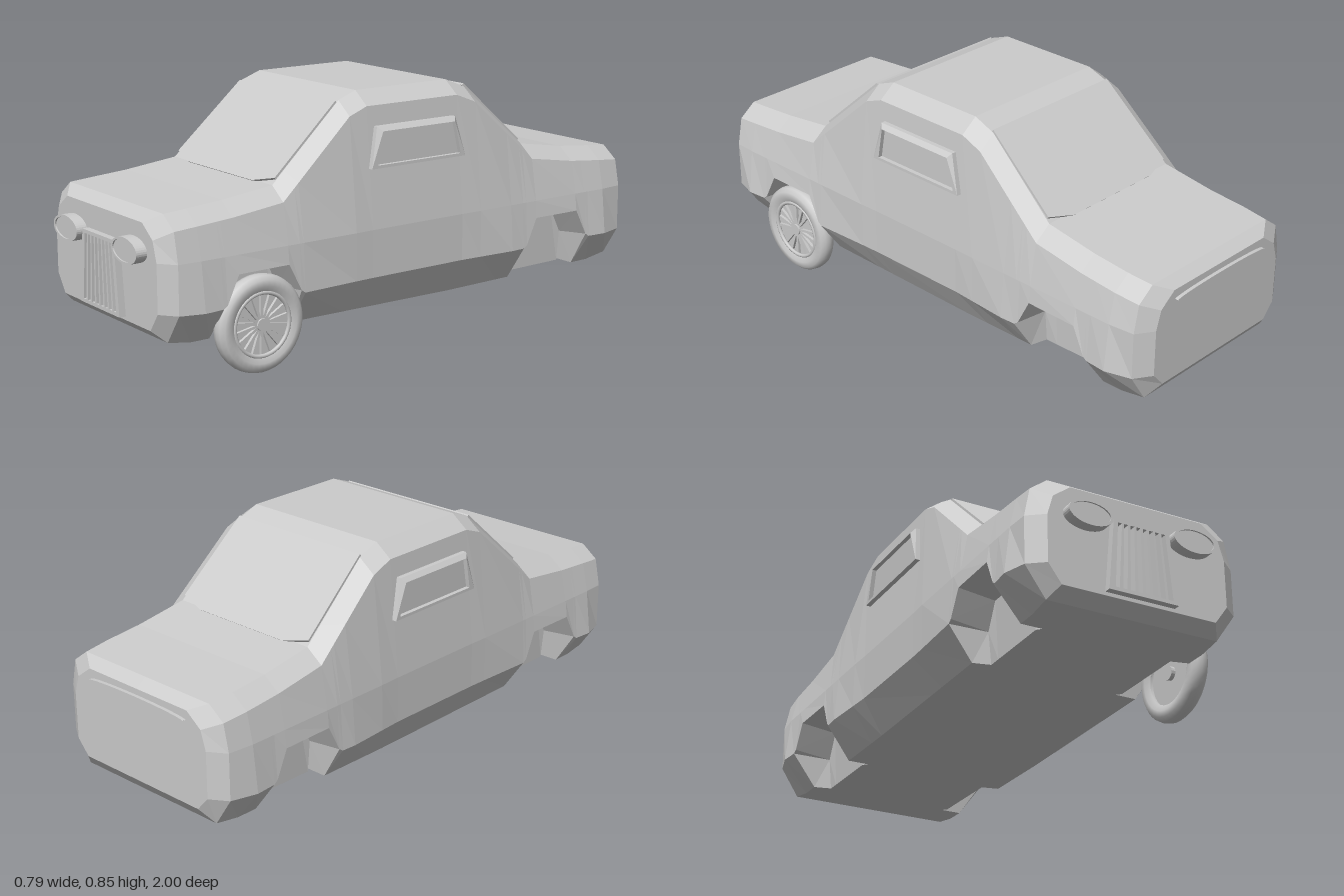
import * as THREE from 'three';

function add(parent, name, geometry, flatShading = true) {
  const material = new THREE.MeshStandardMaterial({ color: 0xcccccc, flatShading, side: THREE.DoubleSide });
  const mesh = new THREE.Mesh(geometry, material);
  mesh.name = name;
  parent.add(mesh);
  return mesh;
}

const polygon = (pts) => new THREE.Shape(pts.map(([x, y]) => new THREE.Vector2(x, y)));
const ellipse = (rx, ry) => new THREE.Shape().absellipse(0, 0, rx, ry, 0, Math.PI * 2);
const extrude = (shape, depth) => new THREE.ExtrudeGeometry(shape, { depth, bevelEnabled: false, curveSegments: 20 });

// Body outlines as [z, value], from nose to tail
const ROOFLINE = [[0.962, 0.512], [0.92, 0.543], [0.53, 0.57], [0.25, 0.82], [0.18, 0.846],
  [-0.2, 0.846], [-0.28, 0.815], [-0.55, 0.577], [-0.95, 0.538], [-0.988, 0.51]];
const WIDTH = [[0.962, 0.315], [0.92, 0.37], [0.84, 0.394], [0.62, 0.374], [0.47, 0.383],
  [0.2, 0.372], [-0.2, 0.372], [-0.42, 0.386], [-0.62, 0.374], [-0.86, 0.392], [-0.95, 0.365], [-0.988, 0.305]];
const FLOOR = [[0.962, 0.178], [0.92, 0.14], [0.84, 0.127], [-0.2, 0.118], [-0.86, 0.125], [-0.95, 0.14], [-0.988, 0.19]];
const ARCHES = [0.615, -0.63];

function along(line, z) {
  const i = Math.max(1, line.findIndex((p) => p[0] <= z));
  const [z0, v0] = line[i - 1], [z1, v1] = line[i];
  return v0 + (v1 - v0) * (z - z0) / (z1 - z0);
}

// Half cross-section from the floor centre, round the side, to the top centre
function halfSection(z) {
  const top = along(ROOFLINE, z), width = along(WIDTH, z), floor = along(FLOOR, z);
  const floorX = Math.min(0.3, width - 0.045);
  const shoulder = Math.min(width - 0.02, 0.35 - 0.058 * (top - 0.57));
  const d = Math.min(...ARCHES.map((c) => Math.abs(z - c)));
  const inArch = d < 0.145;
  const lip = inArch ? 0.34 - Math.max(0, d - 0.095) * 2 : 0.24;
  const under = inArch ? [[0.24, floor], [0.25, lip - 0.015]] : [[floorX * 0.75, floor], [floorX, floor]];
  return [[0, floor], ...under, [width, lip], [Math.min(width, 0.374), 0.4],
    [shoulder, top - 0.045], [shoulder - 0.06, top], [0, top]];
}

// Mirrors each half section and skins them from nose to tail
function bodyGeometry() {
  const arches = ARCHES.flatMap((c) => [0.155, 0.14, 0.095, -0.095, -0.14, -0.155].map((d) => c + d));
  const stations = [0.962, 0.92, 0.84, 0.25, 0.18, -0.2, -0.28, -0.42, -0.86, -0.95, -0.988, ...arches];
  stations.sort((a, b) => b - a);
  const n = 14, pos = [], index = [];
  for (const z of stations) {
    const pts = halfSection(z);
    const ring = [...pts, ...pts.slice(1, -1).reverse().map(([x, y]) => [-x, y])];
    ring.forEach(([x, y]) => pos.push(x, y, z));
  }
  const last = (stations.length - 1) * n;
  for (let s = 0; s < last; s += n) {
    for (let j = 0; j < n; j++) {
      const k = (j + 1) % n;
      index.push(s + j, s + n + j, s + k, s + k, s + n + j, s + n + k);
    }
  }
  for (let j = 1; j < n - 1; j++) index.push(0, j, j + 1, last, last + j + 1, last + j);
  const g = new THREE.BufferGeometry();
  g.setAttribute('position', new THREE.Float32BufferAttribute(pos, 3));
  g.setIndex(index);
  const faceted = g.toNonIndexed();
  faceted.computeVertexNormals();
  return faceted;
}

// Sloping glass, hinged at its lower edge
function addScreen(parent, name, baseZ, baseY, angle) {
  const shape = polygon([[-0.19, 0], [0.19, 0], [0.285, 0.03], [0.275, 0.36], [-0.275, 0.36], [-0.285, 0.03]]);
  const pane = add(parent, name, extrude(shape, 0.008));
  pane.position.set(0, baseY, baseZ);
  pane.rotation.x = angle;
}

// Projecting side window: a trapezoid frame round a recessed pane
function addSideWindow(parent, name, side) {
  const inner = [[-0.16, 0.61], [0.19, 0.61], [0.163, 0.72], [-0.14, 0.72]];
  const frame = polygon([[-0.185, 0.6], [0.21, 0.6], [0.175, 0.735], [-0.155, 0.735]]);
  frame.holes.push(polygon(inner));
  const frameGeometry = extrude(frame, 0.05);
  // slope the upper edge back into the cabin
  const p = frameGeometry.attributes.position;
  for (let i = 0; i < p.count; i++) if (p.getY(i) > 0.73 && p.getZ(i) > 0.02) p.setZ(i, 0.036);
  frameGeometry.computeVertexNormals();
  const turned = new THREE.Group();
  turned.rotation.y = Math.PI / 2;
  add(turned, 'windowFrame', frameGeometry).position.z = 0.32;
  add(turned, 'windowPane', extrude(polygon(inner), 0.03)).position.z = 0.325;
  const window = new THREE.Group();
  window.name = name;
  window.scale.x = side;
  window.add(turned);
  parent.add(window);
}

function addHeadlight(parent, name, side) {
  const light = new THREE.Group();
  light.name = name;
  const rim = ellipse(0.077, 0.042);
  rim.holes.push(ellipse(0.068, 0.035));
  add(light, 'headlightRim', extrude(rim, 0.05));
  add(light, 'headlightLens', extrude(ellipse(0.068, 0.035), 0.045));
  light.position.set(side * 0.185, 0.42, 0.95);
  parent.add(light);
}

// Tapered frame with upright slots
function addGrille(parent) {
  const frame = polygon([[-0.122, 0.19], [0.122, 0.19], [0.098, 0.433], [-0.098, 0.433]]);
  const slots = 8;
  for (let i = 0; i < slots; i++) {
    const a = (i + 0.18) / slots * 2 - 1, b = (i + 0.82) / slots * 2 - 1;
    frame.holes.push(polygon([[a * 0.108, 0.202], [b * 0.108, 0.202], [b * 0.088, 0.421], [a * 0.088, 0.421]]));
  }
  add(parent, 'grille', extrude(frame, 0.035)).position.z = 0.95;
}

function addWheel(parent) {
  const wheel = new THREE.Group();
  wheel.name = 'frontLeftWheel';
  const half = [[0.105, 0.022], [0.125, 0.032], [0.145, 0.03], [0.157, 0.017]];
  const profile = [...half.map(([r, y]) => [r, -y]), [0.16, 0], ...half.slice().reverse()];
  add(wheel, 'tyre', new THREE.LatheGeometry(profile.map(([r, y]) => new THREE.Vector2(r, y)), 40), false);
  add(wheel, 'rimDisc', new THREE.CylinderGeometry(0.107, 0.107, 0.02, 40));
  const rim = add(wheel, 'rimRing', new THREE.TorusGeometry(0.103, 0.007, 8, 40), false);
  rim.rotation.x = Math.PI / 2;
  rim.position.y = 0.02;
  add(wheel, 'hub', new THREE.CylinderGeometry(0.02, 0.024, 0.05, 16));
  for (let i = 0; i < 18; i++) {
    const spoke = new THREE.BoxGeometry(0.08, 0.012, 0.009).translate(0.06, 0.014, 0);
    add(wheel, 'spoke', spoke.rotateY(i / 18 * Math.PI * 2));
  }
  wheel.rotation.z = -Math.PI / 2;
  wheel.position.set(0.348, 0.16, 0.617);
  parent.add(wheel);
}

export function createModel() {
  const car = new THREE.Group();
  car.name = 'car';
  add(car, 'body', bodyGeometry());

  addScreen(car, 'windscreen', 0.525, 0.574, -0.843);
  const rear = new THREE.Group();
  rear.name = 'rearScreenMount';
  rear.rotation.y = Math.PI;
  addScreen(rear, 'rearScreen', 0.545, 0.583, -0.855);
  car.add(rear);

  addSideWindow(car, 'leftWindow', 1);
  addSideWindow(car, 'rightWindow', -1);
  addHeadlight(car, 'leftHeadlight', 1);
  addHeadlight(car, 'rightHeadlight', -1);
  addGrille(car);
  addWheel(car);

  // slim boot handle
  add(car, 'bootHandle', extrude(ellipse(0.22, 0.012), 0.03)).position.set(0, 0.477, -1);
  return car;
}
